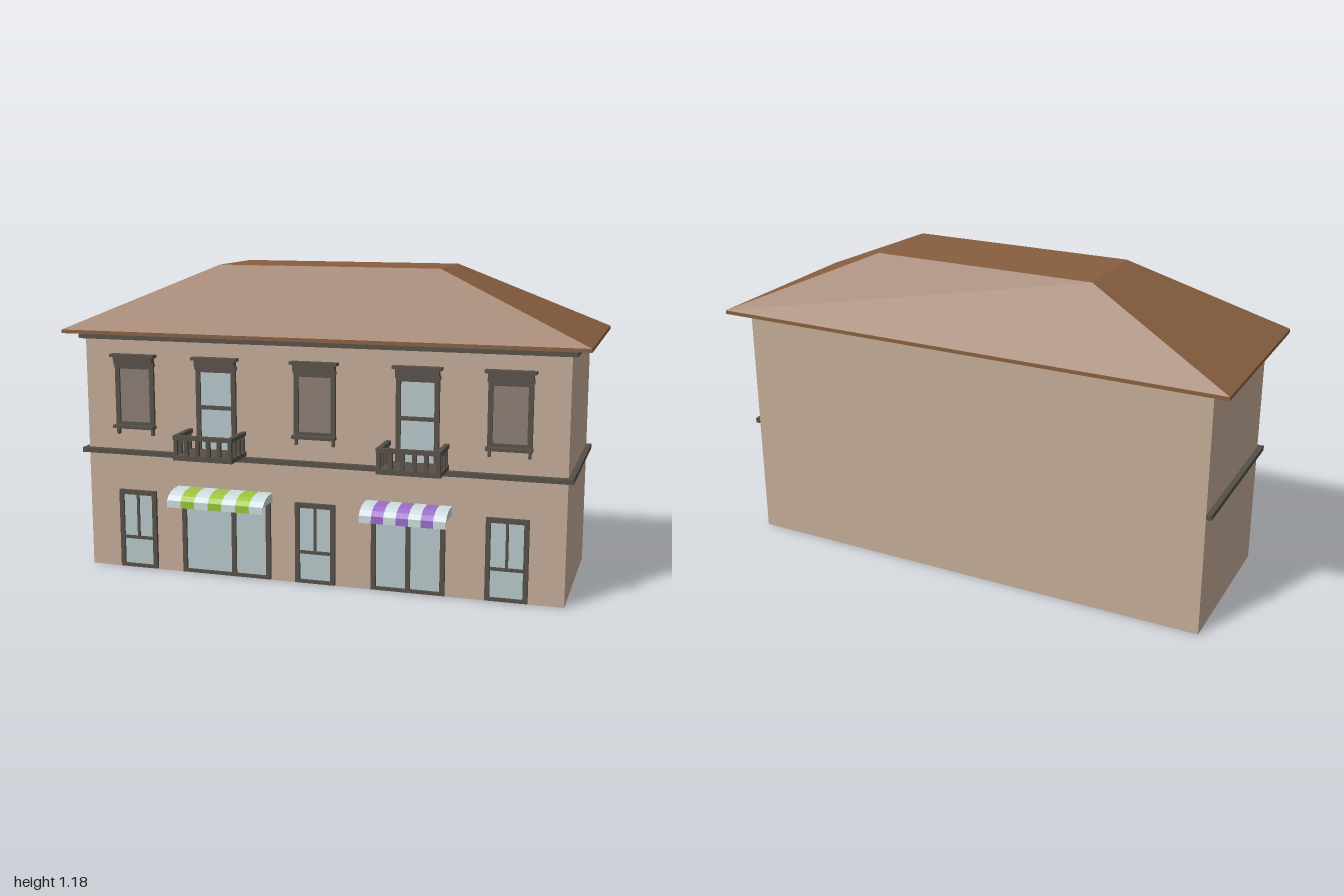
import * as THREE from 'three';

const mat = (name, color, side = THREE.FrontSide) => {
  const m = new THREE.MeshStandardMaterial({ color, side });
  m.name = name;
  return m;
};

export function createModel() {
  const wall = mat('wall plaster', 0xc4ab97, THREE.DoubleSide);
  const roofTile = mat('roof tile', 0x885f40);
  const trim = mat('dark trim', 0x565047);
  const glass = mat('glass', 0xb7c8cb);
  const shutter = mat('shutter', 0x8b7c74);
  const white = mat('awning white', 0xcddcde);
  const green = mat('awning green', 0x9ac43c);
  const purple = mat('awning purple', 0x9a6cc8);

  const FRONT = 0.27, BACK = -0.355;
  const model = new THREE.Group();
  model.name = 'townhouse';

  const group = (name, x = 0) => {
    const g = new THREE.Group();
    g.name = name;
    g.position.x = x;
    model.add(g);
    return g;
  };
  const add = (parent, name, geometry, material) => {
    const m = new THREE.Mesh(geometry, material);
    m.name = name;
    parent.add(m);
    return m;
  };
  // box given by its limits on each axis
  const box = (parent, name, material, x0, x1, y0, y1, z0, z1) => {
    const m = add(parent, name, new THREE.BoxGeometry(x1 - x0, y1 - y0, z1 - z0), material);
    m.position.set((x0 + x1) / 2, (y0 + y1) / 2, (z0 + z1) / 2);
    return m;
  };
  // glazed or shuttered opening: two jambs, a head, a bottom rail and a panel
  const frame = (g, w, y0, y1, panel, t = 0.018) => {
    const h = w / 2;
    box(g, 'panel', panel, -h + t / 2, h - t / 2, y0, y1 - t / 2, FRONT + 0.001, FRONT + 0.004);
    for (const s of [-1, 1]) {
      const c = s * (h - t / 2);
      box(g, 'jamb', trim, c - t / 2, c + t / 2, y0, y1, FRONT, FRONT + 0.012);
    }
    box(g, 'head', trim, -h + t, h - t, y1 - t, y1, FRONT, FRONT + 0.012);
    box(g, 'bottomRail', trim, -h + t, h - t, y0, y0 + 0.013, FRONT, FRONT + 0.012);
  };
  // stepped hood above the upper openings
  const hood = (g) => {
    box(g, 'hoodFrieze', trim, -0.083, 0.083, 0.803, 0.818, FRONT, 0.285);
    box(g, 'hoodBody', trim, -0.08, 0.08, 0.818, 0.838, FRONT, 0.296);
    box(g, 'hoodTop', trim, -0.091, 0.091, 0.838, 0.849, FRONT, 0.304);
  };

  // walls: a box without top and bottom
  const shell = new THREE.BoxGeometry(1.86, 0.93, FRONT - BACK);
  shell.setIndex(Array.from(shell.index.array).filter((_, i) => i < 12 || i >= 24));
  shell.clearGroups();
  add(model, 'walls', shell, wall).position.set(0, 0.465, (FRONT + BACK) / 2);

  // string course and cornice on the front and both sides
  for (const [name, y0, y1] of [['stringCourse', 0.456, 0.475], ['cornice', 0.904, 0.924]]) {
    const g = group(name);
    box(g, 'frontBand', trim, -0.95, 0.95, y0, y1, FRONT, 0.29);
    for (const s of [-1, 1]) {
      box(g, 'sideBand', trim, s * 0.94 - 0.01, s * 0.94 + 0.01, y0, y1, BACK, FRONT);
    }
  }

  // hipped roof with a flat top over a thin eave slab
  const roof = group('roof');
  box(roof, 'eaves', roofTile, -1, 1, 0.926, 0.94, -0.42, 0.33);
  const hip = new THREE.BoxGeometry(2, 0.245, 0.75);
  const p = hip.attributes.position;
  for (let i = 0; i < p.count; i++) {
    if (p.getY(i) > 0) {
      p.setX(i, p.getX(i) * 0.43);
      p.setZ(i, p.getZ(i) * 0.434);
    }
  }
  hip.computeVertexNormals();
  add(roof, 'hippedSlopes', hip, roofTile).position.set(0, 1.0625, -0.045);

  // three bays with a ground floor door and a shuttered window above
  for (const x of [-0.725, 0, 0.722]) {
    const door = group('door', x);
    frame(door, 0.156, 0.004, 0.314, glass);
    box(door, 'middleRail', trim, -0.06, 0.06, 0.118, 0.13, FRONT, FRONT + 0.01);
    box(door, 'mullion', trim, -0.005, 0.005, 0.13, 0.296, FRONT, FRONT + 0.01);

    const win = group('shutteredWindow', x);
    frame(win, 0.16, 0.572, 0.81, shutter);
    hood(win);
    box(win, 'sill', trim, -0.083, 0.083, 0.562, 0.574, FRONT, 0.306);
    for (const s of [-1, 1]) {
      box(win, 'sillBracket', trim, s * 0.072 - 0.005, s * 0.072 + 0.005, 0.536, 0.562, FRONT, 0.285);
    }
  }

  // two french windows with balconies
  for (const x of [-0.39, 0.388]) {
    const win = group('frenchWindow', x);
    frame(win, 0.16, 0.475, 0.81, glass);
    hood(win);
    box(win, 'transom', trim, -0.062, 0.062, 0.65, 0.665, FRONT, FRONT + 0.01);

    const b = group('balcony', x);
    const W = 0.117, Z = 0.42, r = 0.018;
    box(b, 'floor', trim, -W, W, 0.478, 0.496, FRONT, Z);
    box(b, 'frontRail', trim, -W, W, 0.556, 0.572, Z - r, Z);
    for (const s of [-1, 1]) {
      const c = s * (W - r / 2);
      box(b, 'sideRail', trim, c - r / 2, c + r / 2, 0.556, 0.572, FRONT, Z - r);
      for (const z of [0.284, 0.325, 0.368]) {
        box(b, 'sideBaluster', trim, c - 0.006, c + 0.006, 0.496, 0.556, z - 0.006, z + 0.006);
      }
    }
    for (let i = 0; i < 6; i++) {
      const c = (i / 5 - 0.5) * 2 * (W - r / 2);
      box(b, 'frontBaluster', trim, c - 0.007, c + 0.007, 0.496, 0.556, Z - 0.016, Z - 0.002);
    }
  }

  // curved awning in seven stripes, each a solid hood with a thin valance
  const awning = (name, x0, x1, colour) => {
    const g = group(name);
    const curve = [[0.265, 0.31], [0.265, 0.343], [0.31, 0.342], [0.338, 0.338], [0.36, 0.327], [0.378, 0.31]];
    const shape = new THREE.Shape(curve.map(([z, y]) => new THREE.Vector2(-z, y)));
    const w = (x1 - x0) / 7;
    for (let i = 0; i < 7; i++) {
      const m = i % 2 ? colour : white;
      const a = x0 + i * w;
      const geo = new THREE.ExtrudeGeometry(shape, { depth: w, bevelEnabled: false });
      geo.rotateY(Math.PI / 2);
      add(g, 'stripe', geo, m).position.x = a;
      box(g, 'valance', m, a, a + w, 0.284, 0.311, 0.375, 0.378);
    }
  };

  // shop fronts under the awnings
  for (const [x0, x1, mx] of [[-0.538, -0.177, -0.325], [0.218, 0.496, 0.358]]) {
    const c = (x0 + x1) / 2;
    const shop = group('shopFront', c);
    frame(shop, x1 - x0, 0.004, 0.312, glass);
    box(shop, 'mullion', trim, mx - c - 0.009, mx - c + 0.009, 0.017, 0.294, FRONT, FRONT + 0.012);
  }
  awning('greenAwning', -0.556, -0.17, green);
  awning('purpleAwning', 0.198, 0.518, purple);

  return model;
}
